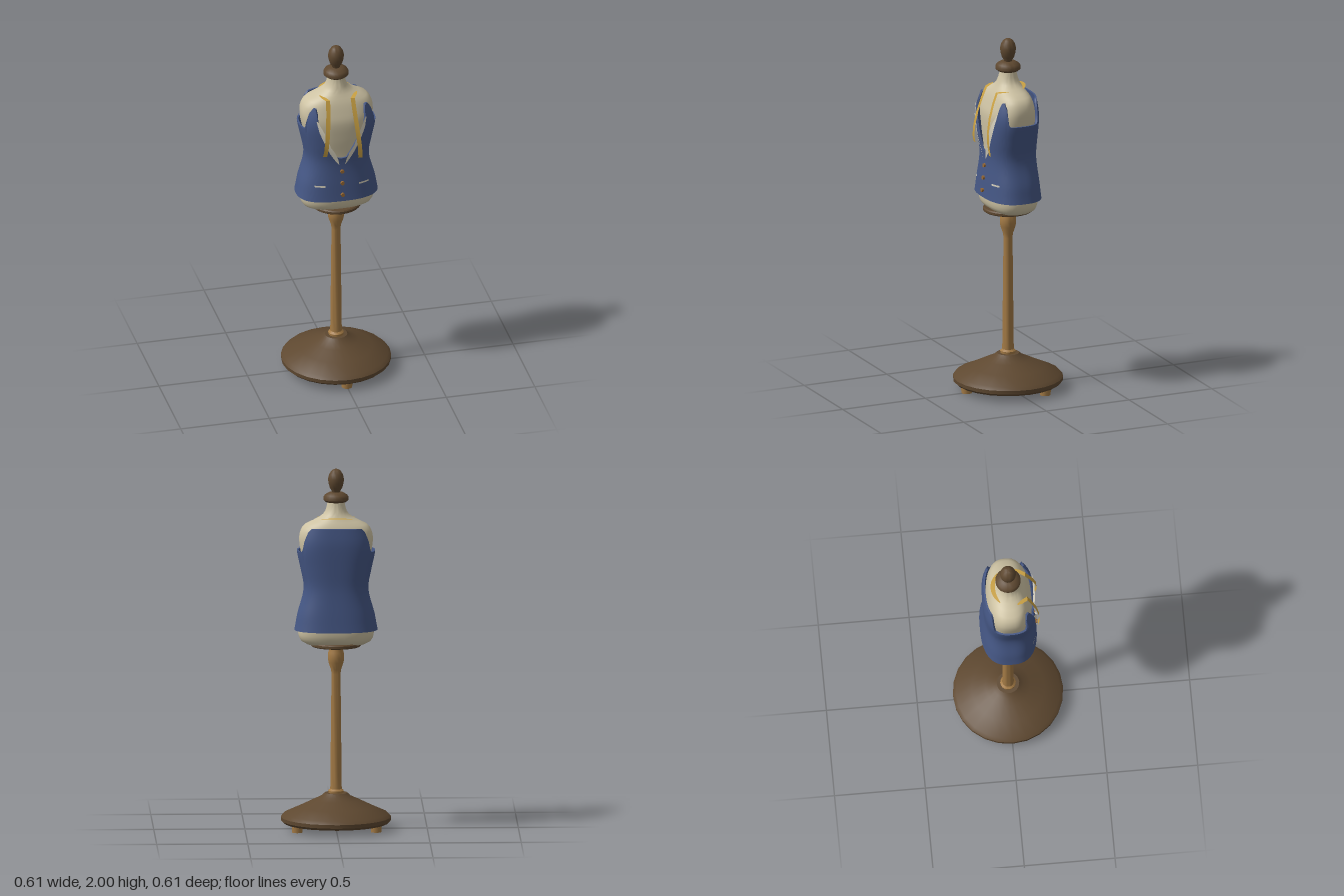
import * as THREE from 'three';
import { toCreasedNormals } from 'three/addons/utils/BufferGeometryUtils.js';

const flat = (name, color, side = THREE.FrontSide) => {
  const m = new THREE.MeshStandardMaterial({ color, side });
  m.name = name;
  return m;
};

// Cross-section tables: [y, half width, front depth, back depth]
const TORSO = [
  [1.03, 0.16, 0.095, 0.095], [1.045, 0.188, 0.12, 0.12], [1.075, 0.205, 0.133, 0.133],
  [1.12, 0.208, 0.137, 0.137], [1.2, 0.195, 0.13, 0.13], [1.34, 0.16, 0.115, 0.115],
  [1.48, 0.18, 0.125, 0.118], [1.58, 0.2, 0.127, 0.12], [1.64, 0.2, 0.112, 0.112],
  [1.69, 0.174, 0.095, 0.097], [1.72, 0.115, 0.08, 0.08], [1.745, 0.075, 0.067, 0.066],
  [1.77, 0.058, 0.058, 0.056], [1.8, 0.05, 0.048, 0.048], [1.82, 0.046, 0.045, 0.045],
];
const VEST = [
  [1.11, 0.228, 0.155, 0.155], [1.14, 0.222, 0.152, 0.152], [1.2, 0.211, 0.147, 0.147],
  [1.3, 0.183, 0.139, 0.138], [1.36, 0.178, 0.139, 0.135], [1.45, 0.195, 0.149, 0.138],
  [1.55, 0.215, 0.152, 0.142], [1.61, 0.21, 0.146, 0.142], [1.69, 0.186, 0.122, 0.133],
];
// Upper edge of the vest: [degrees from the front, y]
const VEST_TOP = [
  [0, 1.37], [5, 1.375], [18, 1.47], [32, 1.58], [37, 1.645], [42, 1.673], [49, 1.675],
  [56, 1.645], [60, 1.59], [62, 1.56], [65, 1.55], [120, 1.55], [124, 1.56], [127, 1.61],
  [132, 1.665], [138, 1.682], [180, 1.685],
];

// Smooth (Hermite) lookup of a table row at height y
function section(table, y) {
  let i = 0;
  while (i < table.length - 2 && y > table[i + 1][0]) i++;
  const p = table[i], q = table[i + 1], h = q[0] - p[0];
  const t = Math.min(1, Math.max(0, (y - p[0]) / h));
  const slope = (k, c) => {
    const a = table[Math.max(0, k - 1)], b = table[Math.min(table.length - 1, k + 1)];
    return (b[c] - a[c]) / (b[0] - a[0]);
  };
  return [1, 2, 3].map((c) => {
    const u = 1 - t;
    return p[c] * (1 + 2 * t) * u * u + q[c] * t * t * (3 - 2 * t)
      + h * (slope(i, c) * t * u * u - slope(i + 1, c) * t * t * u);
  });
}

// Point on a rounded-box cross-section; angle 0 is the front
function ringPoint(table, y, angle, n, inset = 0) {
  const [a, f, b] = section(table, y);
  const s = Math.sin(angle), c = Math.cos(angle);
  const pow = (v) => Math.sign(v) * Math.abs(v) ** (2 / n);
  return [(a - inset) * pow(s), y, ((c > 0 ? f : b) - inset) * pow(c)];
}

// Front face of the vest at x, y
const vestFront = (x, y) => {
  const [a, f] = section(VEST, y);
  return f * Math.max(0, 1 - Math.abs(x / a) ** 2.6) ** (1 / 2.6);
};

// Surface through rows of points, optionally closed either way
function gridGeometry(rows, closeRows, closeCols) {
  const R = rows.length, C = rows[0].length, index = [];
  for (let i = 0; i < R - (closeRows ? 0 : 1); i++) {
    for (let j = 0; j < C - (closeCols ? 0 : 1); j++) {
      const i2 = (i + 1) % R, j2 = (j + 1) % C;
      const a = i * C + j, b = i * C + j2, c = i2 * C + j2, d = i2 * C + j;
      index.push(a, b, c, a, c, d);
    }
  }
  const g = new THREE.BufferGeometry();
  g.setAttribute('position', new THREE.Float32BufferAttribute(rows.flat(2), 3));
  g.setIndex(index);
  return toCreasedNormals(g, 0.9);
}

// Thin strip: pts are [x, y, z, half width], widened along dir
const strip = (pts, dir) => gridGeometry(
  pts.map(([x, y, z, w]) => [-1, 1].map((s) => [x + s * w * dir[0], y + s * w * dir[1], z + s * w * dir[2]])));

const lathe = (pts, segments) =>
  toCreasedNormals(new THREE.LatheGeometry(pts.map(([r, y]) => new THREE.Vector2(r, y)), segments), 0.7);

export function createModel() {
  const group = new THREE.Group();
  const darkWood = flat('dark wood', 0x5e4830);
  const lightWood = flat('light wood', 0xa37a45);
  const linen = flat('linen', 0xcdc2a3);
  const blue = flat('blue cloth', 0x455785);
  const cream = flat('cream cloth', 0xd9d3c0, THREE.DoubleSide);
  const yellow = flat('yellow tape', 0xcba244, THREE.DoubleSide);
  const bronze = flat('bronze', 0x9a6a35);
  const add = (name, geometry, material) => {
    const m = new THREE.Mesh(geometry, material);
    m.name = name;
    group.add(m);
    return m;
  };

  // Stand
  add('base', lathe([[0, 0.035], [0.288, 0.035], [0.302, 0.048], [0.303, 0.068], [0.286, 0.086],
    [0.2, 0.125], [0.125, 0.162], [0.085, 0.18], [0.062, 0.2], [0, 0.2]], 24), darkWood);
  for (let i = 0; i < 3; i++) {
    const a = (i * Math.PI * 2) / 3;
    add('foot', new THREE.CylinderGeometry(0.031, 0.029, 0.036, 14), lightWood)
      .position.set(0.25 * Math.sin(a), 0.018, 0.25 * Math.cos(a));
  }
  add('pole', lathe([[0.042, 0.198], [0.043, 0.212], [0.032, 0.222], [0.031, 0.3], [0.025, 0.86],
    [0.028, 0.885], [0.042, 0.925], [0.045, 0.95], [0.043, 0.98], [0.034, 1.005], [0.034, 1.02]], 18), lightWood);
  add('bottomPlate', lathe([[0, 1.015], [0.132, 1.015], [0.138, 1.02], [0.138, 1.032], [0.132, 1.038],
    [0, 1.038]], 28), darkWood);

  // Torso, rounder towards the neck
  const rows = [];
  for (let i = 0; i <= 44; i++) {
    const y = 1.03 + (0.79 * i) / 44;
    const n = 2.6 - 0.6 * THREE.MathUtils.smoothstep(y, 1.66, 1.78);
    rows.push(Array.from({ length: 48 }, (_, j) => ringPoint(TORSO, y, (j * Math.PI) / 24, n)));
  }
  rows.unshift(rows[0].map(([x, y, z]) => [x * 0.02, y, z * 0.02]));
  add('torso', gridGeometry(rows, false, true), linen);

  // Neck cap and finial
  add('neckCap', lathe([[0, 1.815], [0.056, 1.817], [0.069, 1.828], [0.07, 1.842], [0.062, 1.856],
    [0.038, 1.87], [0, 1.87]], 22), darkWood);
  add('finial', lathe([[0.02, 1.865], [0.022, 1.875], [0.034, 1.895], [0.042, 1.922], [0.044, 1.945],
    [0.038, 1.97], [0.025, 1.99], [0.012, 1.998], [0, 2]], 22), darkWood);

  // Vest: outer shell up to the edge line, then back down inside
  const half = [];
  VEST_TOP.slice(0, -1).forEach(([d, y], i) => {
    const [d2, y2] = VEST_TOP[i + 1], steps = Math.ceil((d2 - d) / 4);
    for (let k = 0; k < steps; k++) half.push([d + ((d2 - d) * k) / steps, y + ((y2 - y) * k) / steps]);
  });
  const columns = [...half, VEST_TOP.at(-1), ...half.slice(1).reverse().map(([d, y]) => [360 - d, y])];
  const STEPS = 22, shell = [];
  for (const inset of [0, 0.01]) {
    for (let k = 0; k <= STEPS; k++) {
      const t = (inset ? STEPS - k : k) / STEPS;
      shell.push(columns.map(([d, top]) =>
        ringPoint(VEST, 1.11 + (top - 1.11) * t, THREE.MathUtils.degToRad(d), 2.6, inset)));
    }
  }
  add('vest', gridGeometry(shell, true, true), blue);

  // Buttons
  for (const y of [1.29, 1.22, 1.15]) {
    const b = add('button', new THREE.CylinderGeometry(0.011, 0.011, 0.012, 12), bronze);
    b.rotation.x = Math.PI / 2;
    b.position.set(0, y, vestFront(0, y) + 0.005);
  }

  for (const s of [-1, 1]) {
    // Lapel along the neckline
    const lapel = [[0.138, 1.61, 0.003], [0.117, 1.55, 0.012], [0.096, 1.5, 0.014], [0.077, 1.45, 0.011],
      [0.055, 1.41, 0.015], [0.035, 1.37, 0.011], [0.018, 1.335, 0.002]];
    add('lapel', strip(lapel.map(([x, y, w]) => [s * x, y, vestFront(x, y) + 0.006, w]), [1, 0, -0.3 * s]), cream);

    // Pocket trim
    const pocket = [0.095, 0.11, 0.125, 0.14, 0.152];
    add('pocketTrim', strip(pocket.map((x) => [s * x, 1.205, vestFront(x, 1.205) + 0.005, 0.005]), [0, 1, 0]), cream);

    // Hanging tape end
    add('tapeEnd', strip([[0.103, 1.724, 0.042, 0.004], [0.088, 1.722, 0.07, 0.012], [0.07, 1.717, 0.1, 0.012],
      [0.073, 1.66, 0.123, 0.012], [0.08, 1.58, 0.148, 0.012], [0.088, 1.5, 0.163, 0.012],
      [0.095, 1.44, 0.165, 0.012], [0.1, s > 0 ? 1.37 : 1.4, 0.156, 0.012]]
      .map(([x, y, z, w]) => [s * x, y, z, w]), [1, 0, 0]), yellow);
  }

  // Tape around the back of the neck
  const arc = [];
  for (let i = -8; i <= 8; i++) {
    const u = i / 8;
    arc.push([0.088 * u, 1.735 - 0.008 * u * u, -0.084 + 0.034 * u * u, 0.012 * (1 - 0.9 * u ** 4)]);
  }
  add('neckTape', strip(arc, [0, 0, 1]), yellow);

  return group;
}
